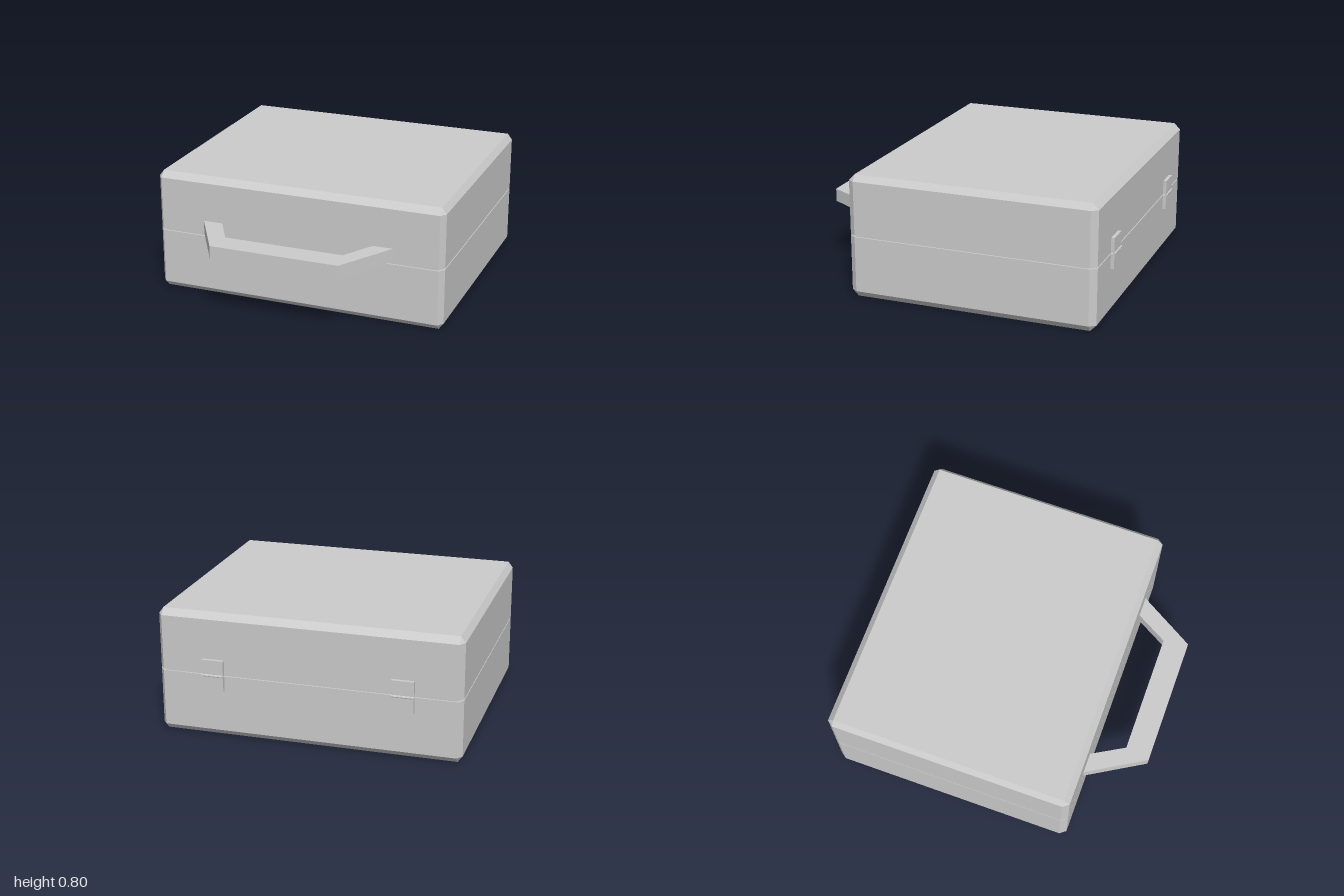
import * as THREE from 'three';

const material = new THREE.MeshStandardMaterial({ color: 0xcccccc, flatShading: true });
const HX = 0.96, HZ = 0.8025, CZ = -0.1675; // case half-sizes and centre in z
const CX = 0.03, CH = 0.04;                 // chamfer in x, and in y and z
const SEAM = 0.405;

function add(parent, name, geometry, x = 0, y = 0, z = 0) {
  const mesh = new THREE.Mesh(geometry, material);
  mesh.name = name;
  mesh.position.set(x, y, z);
  parent.add(mesh);
  return mesh;
}

// Eight-cornered ring, counterclockwise from above; with cut = true it collapses to the cap rectangle
function ring(y, cut = false, inset = 0) {
  const X = HX - inset, Z = HZ - inset, x = HX - CX - inset, z = HZ - CH - inset;
  const ox = cut ? x : X, oz = cut ? z : Z;
  return [[ox, z], [ox, -z], [x, -oz], [-x, -oz], [-ox, -z], [-ox, z], [-x, oz], [x, oz]]
    .map(([a, b]) => new THREE.Vector3(a, y, b));
}

// Flat-sided skin through a stack of rings, with optional end caps
function loft(rings, capBottom, capTop) {
  const pos = [];
  const tri = (a, b, c) => {
    if (a.equals(b) || b.equals(c) || c.equals(a)) return;
    for (const v of [a, b, c]) pos.push(v.x, v.y, v.z);
  };
  for (let r = 0; r + 1 < rings.length; r++) {
    const lo = rings[r], hi = rings[r + 1];
    for (let i = 0; i < 8; i++) {
      const j = (i + 1) % 8;
      tri(lo[i], lo[j], hi[j]);
      tri(lo[i], hi[j], hi[i]);
    }
  }
  const bottom = rings[0], top = rings[rings.length - 1];
  for (let i = 1; i < 7; i++) {
    if (capTop) tri(top[0], top[i], top[i + 1]);
    if (capBottom) tri(bottom[0], bottom[i + 1], bottom[i]);
  }
  const g = new THREE.BufferGeometry();
  g.setAttribute('position', new THREE.Float32BufferAttribute(pos, 3));
  g.computeVertexNormals();
  return g;
}

function rectPath(Type, x0, x1, z0, z1) {
  return new Type([[x0, z0], [x1, z0], [x1, z1], [x0, z1]].map(p => new THREE.Vector2(...p)));
}

// Plan outline (x, z) extruded downward from y = 0
function slab(shape, thickness) {
  return new THREE.ExtrudeGeometry(shape, { depth: thickness, bevelEnabled: false }).rotateX(Math.PI / 2);
}

export function createModel() {
  const model = new THREE.Group();
  model.name = 'carryCase';

  // Two chamfered halves with a narrow groove between them
  add(model, 'baseShell', loft([ring(0, true), ring(CH), ring(SEAM - 0.004)], false, true), 0, 0, CZ);
  add(model, 'seamCore', loft([ring(SEAM - 0.02, false, 0.01), ring(SEAM + 0.02, false, 0.01)], false, false), 0, 0, CZ);
  add(model, 'lid', loft([ring(SEAM + 0.004), ring(0.80 - CH), ring(0.80, true)], true, true), 0, 0, CZ);

  // Underside: frame with four shallow pockets
  const depth = 0.03;
  const frame = rectPath(THREE.Shape, -HX + CX, HX - CX, -HZ + CH, HZ - CH);
  for (const sx of [-1, 1]) for (const sz of [-1, 1]) {
    const xs = [sx * 0.04, sx * 0.865].sort((a, b) => a - b);
    const zs = [sz * 0.035, sz * 0.705].sort((a, b) => a - b);
    frame.holes.push(rectPath(THREE.Path, ...xs, ...zs));
  }
  add(model, 'undersideFrame', slab(frame, depth), 0, depth, CZ);
  add(model, 'pocketFloor', new THREE.PlaneGeometry(1.84, 1.5).rotateX(Math.PI / 2), 0, depth, CZ);

  // Angular carrying handle
  const outline = [[-0.64, 0.63], [-0.51, 0.63], [-0.39, 0.84], [0.39, 0.84],
    [0.51, 0.63], [0.64, 0.63], [0.42, 1.0], [-0.42, 1.0]];
  const handle = new THREE.Shape(outline.map(p => new THREE.Vector2(...p)));
  add(model, 'handle', slab(handle, 0.085), 0, 0.505, 0);

  // Hinges on the back: two leaves and a pin each
  for (const side of [-1, 1]) {
    const hinge = new THREE.Group();
    hinge.name = side > 0 ? 'leftHinge' : 'rightHinge';
    hinge.position.set(side * 0.60, SEAM, -0.97);
    for (const s of [-1, 1])
      add(hinge, s > 0 ? 'upperLeaf' : 'lowerLeaf', new THREE.BoxGeometry(0.14, 0.097, 0.03), 0, s * 0.0515, -0.007);
    add(hinge, 'pin', new THREE.CylinderGeometry(0.008, 0.008, 0.14, 8).rotateZ(Math.PI / 2), 0, 0, -0.022);
    model.add(hinge);
  }
  return model;
}
